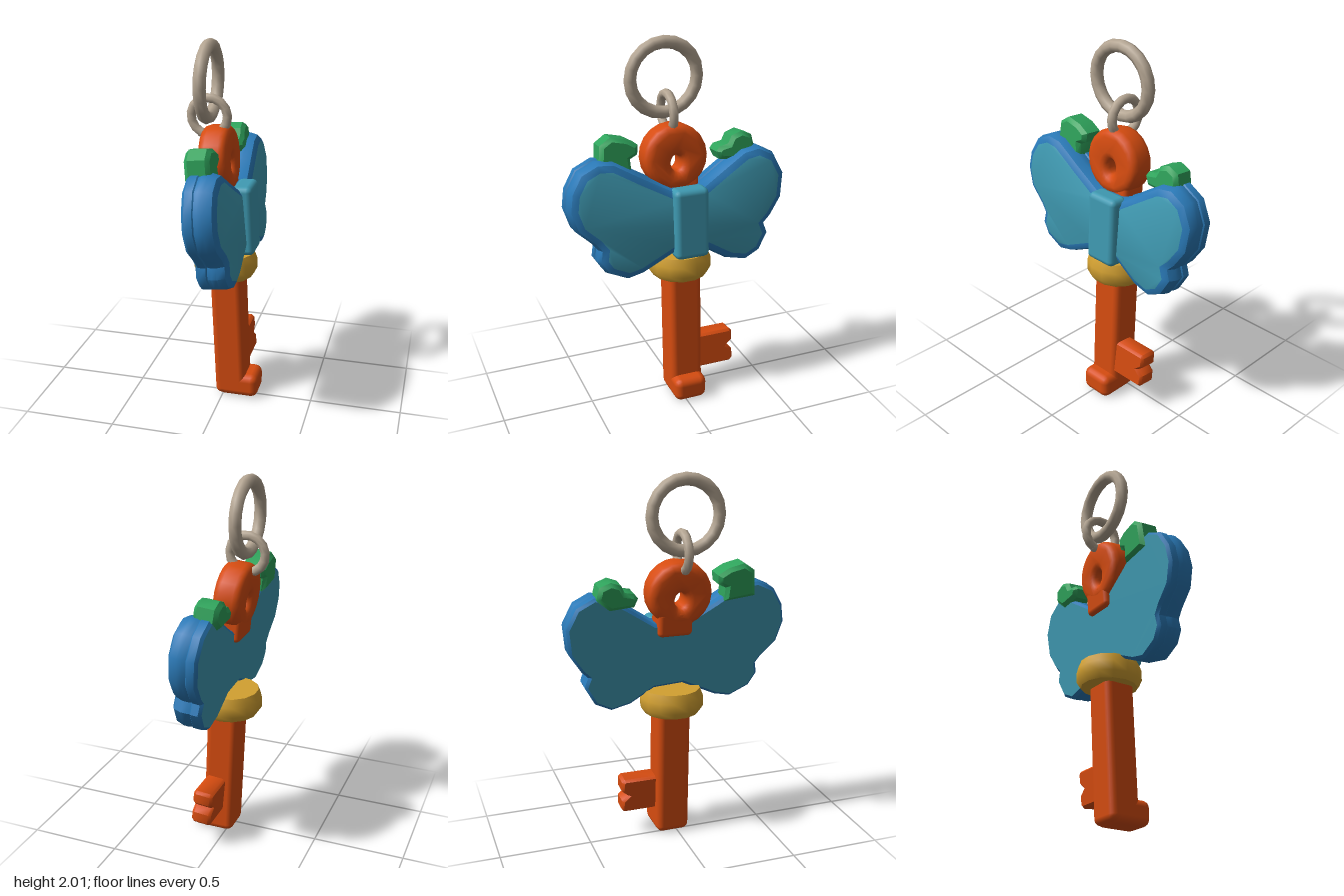
import * as THREE from 'three';
import { toCreasedNormals } from 'three/addons/utils/BufferGeometryUtils.js';
import { RoundedBoxGeometry } from 'three/addons/geometries/RoundedBoxGeometry.js';

const material = (name, color) => {
  const m = new THREE.MeshStandardMaterial({ color });
  m.name = name;
  return m;
};

const LEAN = 0.09; // upper parts lean towards -x around this height
const PIVOT = 1.1;

// Wing outline as [z, y], running round both wings
const WINGS = [
  [0.04, 1.24], [0.2, 1.33], [0.35, 1.42], [0.44, 1.43], [0.535, 1.385], [0.59, 1.29], [0.605, 1.19],
  [0.57, 1.08], [0.485, 1.0], [0.455, 0.96], [0.465, 0.9], [0.42, 0.83], [0.31, 0.78],
  [0.22, 0.8], [0.03, 0.89], [-0.13, 0.88], [-0.26, 0.8], [-0.365, 0.775], [-0.455, 0.82],
  [-0.51, 0.92], [-0.49, 0.975], [-0.525, 1.01], [-0.59, 1.11], [-0.605, 1.25], [-0.55, 1.36],
  [-0.455, 1.41], [-0.365, 1.395], [-0.25, 1.32], [-0.13, 1.24],
];
const LEAF_FRONT = [
  [0.42, 1.36], [0.41, 1.5], [0.35, 1.54], [0.265, 1.52], [0.205, 1.485],
  [0.21, 1.435], [0.25, 1.415], [0.245, 1.34],
];
const LEAF_BACK = [
  [-0.23, 1.395], [-0.25, 1.42], [-0.3, 1.43], [-0.32, 1.47], [-0.375, 1.49],
  [-0.435, 1.465], [-0.45, 1.4], [-0.38, 1.34], [-0.25, 1.35],
];

const shapeFrom = (points) => new THREE.Shape(points.map(([z, y]) => new THREE.Vector2(-z, y)));

// Leaning slab between x0 and x1 with a bevel inside its outline
function slab(shape, x0, x1, thick, size, segments = 1) {
  const geo = new THREE.ExtrudeGeometry(shape, {
    depth: x1 - x0 - 2 * thick, bevelThickness: thick, bevelSize: size,
    bevelOffset: -size, bevelSegments: segments, curveSegments: 10,
  });
  geo.translate(0, -PIVOT, thick).rotateY(Math.PI / 2).translate(x0, 0, 0);
  geo.rotateZ(LEAN).translate(0, PIVOT, 0);
  return toCreasedNormals(geo, 0.75);
}

export function createModel() {
  const group = new THREE.Group();
  const teal = material('teal', 0x3f9ab2);
  const blue = material('blue', 0x2a7ab8);
  const orange = material('orange', 0xd64c10);
  const gold = material('gold', 0xd2a031);
  const green = material('green', 0x2fa45c);
  const metal = material('metal', 0xb5a693);

  const add = (name, geo, mat, x = 0, y = 0, z = 0, tilt = 0) => {
    const mesh = new THREE.Mesh(geo, mat);
    mesh.name = name;
    mesh.position.set(x, y, z);
    mesh.rotation.z = tilt;
    group.add(mesh);
    return mesh;
  };
  const box = (w, h, d, r) => new RoundedBoxGeometry(w, h, d, 2, r);

  // Wings: teal faces, blue rims
  add('wingsBack', slab(shapeFrom(WINGS), -0.05, 0.02, 0.015, 0.015), [teal, blue]);
  add('wingsFront', slab(shapeFrom(WINGS), -0.03, 0.118, 0.06, 0.045, 2), [teal, blue]);
  add('bowKnot', box(0.11, 0.385, 0.19, 0.03), teal, 0.108, 1.06, -0.042, 0.05);

  // Green tufts on top of the wings
  add('frontTuft', slab(shapeFrom(LEAF_FRONT), -0.07, 0.06, 0.02, 0.02), green);
  add('backTuft', slab(shapeFrom(LEAF_BACK), -0.07, 0.06, 0.02, 0.02), green);

  // Key head with its hole, and the neck below
  const head = new THREE.Shape().absarc(0, 1.395, 0.175, 0, Math.PI * 2);
  head.holes.push(new THREE.Path().absellipse(0, 1.365, 0.03, 0.042, 0, Math.PI * 2, true));
  add('keyHead', slab(head, -0.078, 0.075, 0.04, 0.04, 3), orange);
  add('neck', box(0.14, 0.14, 0.19, 0.025), orange, -0.02, 1.24, -0.027, LEAN);

  // Shaft and foot
  add('shaft', box(0.175, 0.8, 0.185, 0.035), orange, 0.03, 0.41, -0.027, 0.045);
  add('foot', box(0.23, 0.135, 0.185, 0.04), orange, 0.085, 0.07, -0.027);

  // Notched key bit
  const bit = shapeFrom([
    [-0.08, 0.15], [-0.295, 0.15], [-0.31, 0.165], [-0.31, 0.22], [-0.275, 0.25],
    [-0.31, 0.28], [-0.31, 0.335], [-0.295, 0.35], [-0.08, 0.35],
  ]);
  add('keyBit', slab(bit, -0.105, 0.005, 0.015, 0.012), orange, 0.03, 0, 0);

  // Collar
  const profile = [[0, 0.73], [0.15, 0.73], [0.173, 0.765], [0.173, 0.82], [0.155, 0.865], [0, 0.865]]
    .map(([r, y]) => new THREE.Vector2(r, y));
  add('collar', toCreasedNormals(new THREE.LatheGeometry(profile, 14), 0.8), gold, 0, 0, -0.025);

  // Metal rings: the large one faces sideways, the small one is an open link
  const large = new THREE.TorusGeometry(0.183, 0.034, 8, 20).rotateY(Math.PI / 2);
  add('largeRing', large, metal, -0.075, 1.8, 0.03);
  const arc = THREE.MathUtils.degToRad(290);
  const link = add('smallRing', new THREE.TorusGeometry(0.097, 0.025, 8, 12, arc), metal, -0.08, 1.615, 0.01);
  link.rotation.z = THREE.MathUtils.degToRad(-45);
  [0, arc].forEach((a) => { // closed link ends
    const end = new THREE.SphereGeometry(0.025, 8, 6);
    end.translate(0.097 * Math.cos(a), 0.097 * Math.sin(a), 0);
    add('smallRingEnd', end, metal, -0.08, 1.615, 0.01, link.rotation.z);
  });

  return group;
}
